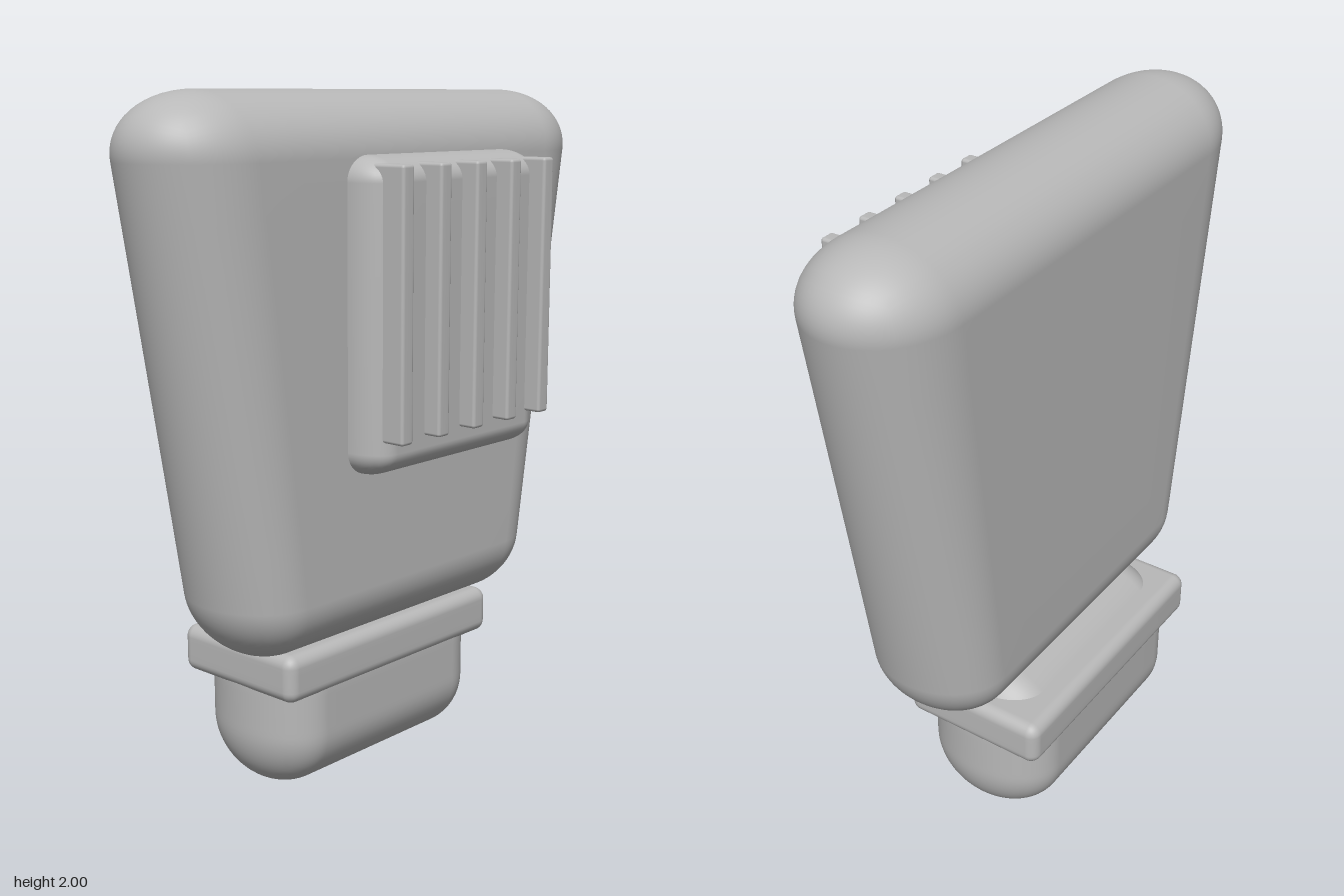
import * as THREE from 'three';
import { mergeVertices } from 'three/addons/utils/BufferGeometryUtils.js';

const grey = new THREE.MeshStandardMaterial({ color: 0xb8b8b8 });
grey.name = 'plain grey';

// Box with its own rounding radius along each axis; min/max are its extents.
// widthAt(y) optionally scales x by height to taper the form.
function softBox(name, min, max, radii, segments, widthAt = () => 1) {
  const box = new THREE.BoxGeometry(2, 2, 2, segments, segments, segments);
  box.deleteAttribute('normal');
  box.deleteAttribute('uv');
  const geometry = mergeVertices(box, 1e-5);
  const pos = geometry.attributes.position;
  const centre = min.map((v, i) => (v + max[i]) / 2);
  const inner = min.map((v, i) => Math.max(0, (max[i] - v) / 2 - radii[i]));
  for (let n = 0; n < pos.count; n++) {
    const u = [pos.getX(n), pos.getY(n), pos.getZ(n)];
    const bend = [], core = [];
    u.forEach((c, i) => {
      const flat = inner[i] > 0.001 ? 1 / 3 : 0;
      const t = Math.abs(c);
      core[i] = flat ? Math.sign(c) * Math.min(1, t / flat) * inner[i] : 0;
      bend[i] = Math.sign(c) * Math.tan(Math.max(0, (t - flat) / (1 - flat)) * Math.PI / 4);
    });
    const length = Math.hypot(...bend);
    const p = core.map((c, i) => centre[i] + c + bend[i] / length * radii[i]);
    pos.setXYZ(n, p[0] * widthAt(p[1]), p[1], p[2]);
  }
  geometry.computeVertexNormals();
  const mesh = new THREE.Mesh(geometry, grey);
  mesh.name = name;
  return mesh;
}

export function createModel() {
  const model = new THREE.Group();
  model.name = 'torso';

  // Chest slab, wide at the shoulders and narrow at the waist
  model.add(softBox('chest', [-0.85, 0.45, -0.24], [0.85, 2, 0.18],
    [0.25, 0.18, 0.21], 24, y => 1 + 0.215 * (y - 1.88)));

  // Hips with a domed top and a belt around them
  model.add(softBox('hips', [-0.43, 0.005, -0.325], [0.43, 0.52, 0.1],
    [0.15, 0.19, 0.2125], 24));
  model.add(softBox('belt', [-0.44, 0.325, -0.34], [0.44, 0.465, 0.11],
    [0.035, 0.035, 0.035], 12));

  // Offset chest panel carrying five upright slats
  const vent = new THREE.Group();
  vent.name = 'vent';
  vent.add(softBox('ventPanel', [-0.28, 0.965, 0.05], [0.45, 1.83, 0.29],
    [0.08, 0.07, 0.11], 18));
  for (let i = 0; i < 5; i++) {
    const x = -0.22 + i * 0.1525;
    vent.add(softBox('slat', [x - 0.023, 1.07, 0.21], [x + 0.023, 1.81, 0.343],
      [0.009, 0.009, 0.009], 6));
  }
  model.add(vent);
  return model;
}
